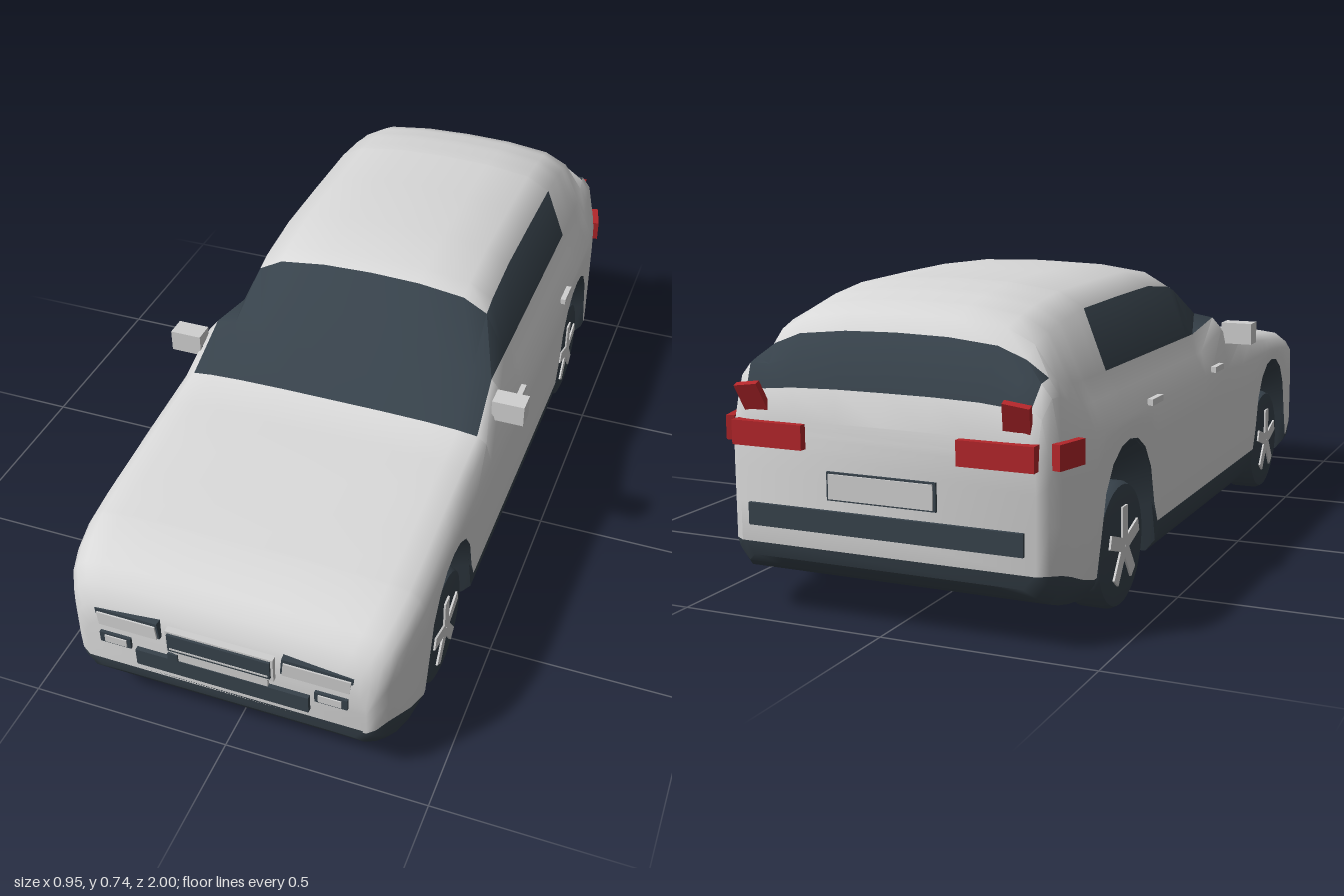
import * as THREE from 'three';
import { toCreasedNormals } from 'three/addons/utils/BufferGeometryUtils.js';

const mat = (name, color) => {
  const m = new THREE.MeshStandardMaterial({ color });
  m.name = name;
  return m;
};
const paint = mat('body paint', 0xd8d8d8);
const dark = mat('dark trim and glass', 0x37424b);
const silver = mat('silver', 0xd0d0d0);
const red = mat('red lamp', 0xb3262a);

// Body stations: z, half width, bottom, top of trim, roof or bonnet height
const KEYS = [
  [0.983, 0.345, 0.14, 0.165, 0.3], [0.975, 0.365, 0.125, 0.175, 0.345], [0.95, 0.385, 0.105, 0.185, 0.385],
  [0.92, 0.4, 0.09, 0.18, 0.415], [0.87, 0.412, 0.08, 0.155, 0.435], [0.8, 0.42, 0.078, 0.125, 0.453],
  [0.7, 0.422, 0.078, 0.15, 0.466], [0.5, 0.422, 0.078, 0.155, 0.487], [0.29, 0.422, 0.078, 0.155, 0.505],
  [0.15, 0.422, 0.078, 0.155, 0.606], [0, 0.422, 0.078, 0.155, 0.707], [-0.05, 0.422, 0.078, 0.155, 0.722],
  [-0.2, 0.422, 0.078, 0.155, 0.738], [-0.4, 0.422, 0.078, 0.155, 0.736], [-0.62, 0.422, 0.078, 0.155, 0.731],
  [-0.74, 0.42, 0.078, 0.13, 0.716], [-0.82, 0.418, 0.078, 0.125, 0.698], [-0.87, 0.41, 0.083, 0.14, 0.678],
  [-0.905, 0.402, 0.09, 0.155, 0.642], [-0.935, 0.393, 0.1, 0.165, 0.588], [-0.965, 0.378, 0.12, 0.17, 0.522],
  [-0.98, 0.355, 0.14, 0.17, 0.45],
];
const ARCH = [[0, 0.383], [0.05, 0.375], [0.1, 0.345], [0.14, 0.29], [0.165, 0.2], [0.19, 0.08]];
const AXLES = [0.6, -0.615];

// Linear lookup in a table ordered by its first column
function lookup(table, v) {
  const up = table[1][0] > table[0][0] ? 1 : -1;
  let i = 0;
  while (i < table.length - 2 && (v - table[i + 1][0]) * up > 0) i++;
  const a = table[i], b = table[i + 1];
  const t = THREE.MathUtils.clamp((v - a[0]) / (b[0] - a[0]), 0, 1);
  return a.map((n, k) => n + (b[k] - n) * t);
}

function archHeight(z) {
  const d = Math.min(...AXLES.map((a) => Math.abs(z - a)));
  return d > 0.1899 ? 0 : lookup(ARCH, d)[1];
}

// Half cross-section from the underside centre up to the roof centre
function section(z) {
  const [, W, b, trim, T] = lookup(KEYS, z);
  const a = archHeight(z), s = W / 0.422, c = THREE.MathUtils.clamp((T - 0.505) / 0.2, 0, 1);
  const inner = Math.max(b, a - 0.06);
  const mix = (hood, cab) => hood + (cab - hood) * c;
  const low = (y, j) => Math.max(y, a + j * 0.002);
  const y4 = low(trim, 4), y7 = mix(Math.min(0.42, T - 0.055), 0.44);
  return [
    [0, inner], [0.3 * s, inner], [W - (a > 0.1 ? 0.006 : 0.03), low(b, 2)], [W - 0.006, low(b + 0.03, 3)],
    [W, y4], [W, y4 + (y7 - y4) * 0.4], [W, y4 + (y7 - y4) * 0.75], [0.42 * s, y7],
    [mix(0.405, 0.39) * s, mix(T - 0.03, 0.495)], [mix(0.38, 0.365) * s, mix(T - 0.012, 0.54)],
    [mix(0.33, 0.312) * s, mix(T - 0.006, T - 0.055)], [0.25 * s, mix(T - 0.002, T - 0.02)],
    [0.13 * s, mix(T, T - 0.004)], [0, T],
  ];
}

// Lofted shell with painted, glazed and trimmed bands
function bodyGeometry() {
  const zs = KEYS.map((k) => k[0]);
  for (const c of AXLES) for (const [d] of ARCH) zs.push(c + d, c - d);
  const sorted = zs.sort((p, q) => q - p).filter((z, i) => i === 0 || sortedGap(zs[i - 1], z));
  const N = 26, pos = [], faces = [[], []];
  for (const z of sorted) {
    const half = section(z);
    for (const [x, y] of half) pos.push(x, y, z);
    for (let i = 12; i > 0; i--) pos.push(-half[i][0], half[i][1], z);
  }
  const quad = (m, a, b, c, d) => faces[m].push(a, b, c, a, c, d);
  for (let k = 0; k < sorted.length - 1; k++) {
    const z = (sorted[k] + sorted[k + 1]) / 2;
    for (let i = 0; i < N; i++) {
      const j = i < 13 ? i : 25 - i, n = (i + 1) % N;
      const windscreen = j >= 9 && z > 0 && z < 0.29;
      const sideWindow = j === 9 && z < 0 && z > -0.62;
      const rearWindow = j >= 9 && z < -0.905 && z > -0.965;
      const m = j < 4 || windscreen || sideWindow || rearWindow ? 1 : 0;
      quad(m, k * N + i, (k + 1) * N + i, (k + 1) * N + n, k * N + n);
    }
  }
  const last = (sorted.length - 1) * N;
  for (let j = 0; j < 13; j++) {
    const l = (N - j) % N, l2 = N - j - 1, m = j < 4 ? 1 : 0;
    quad(m, j, j + 1, l2, l);
    quad(m, last + l, last + l2, last + j + 1, last + j);
  }
  const g = new THREE.BufferGeometry();
  g.setAttribute('position', new THREE.Float32BufferAttribute(pos, 3));
  g.setIndex([...faces[0], ...faces[1]]);
  g.addGroup(0, faces[0].length, 0);
  g.addGroup(faces[0].length, faces[1].length, 1);
  return toCreasedNormals(g, 0.75);
}
const sortedGap = (p, q) => p - q > 1e-4;

export function createModel() {
  const car = new THREE.Group();
  car.name = 'car';
  const add = (name, geometry, material, parent = car) => {
    const m = new THREE.Mesh(geometry, material);
    m.name = name;
    parent.add(m);
    return m;
  };
  const box = (name, material, size, at, rot = [0, 0, 0]) => {
    const m = add(name, new THREE.BoxGeometry(...size), material);
    m.position.set(...at);
    m.rotation.set(...rot);
    return m;
  };

  add('body', bodyGeometry(), [paint, dark]);
  box('underbody', dark, [0.6, 0.01, 1.66], [0, 0.086, -0.01]);

  // Wheels: rounded tyre with a five-spoke star
  const tyreProfile = [[0, -0.05], [0.12, -0.05], [0.138, -0.044], [0.145, -0.03], [0.145, 0.03], [0.138, 0.044],
    [0.12, 0.05], [0, 0.05]].map((p) => new THREE.Vector2(...p));
  const tyre = toCreasedNormals(new THREE.LatheGeometry(tyreProfile, 36), 0.6);
  const spoke = new THREE.BoxGeometry(0.032, 0.01, 0.09).translate(0, 0.05, 0.047);
  for (const z of AXLES) for (const side of [1, -1]) {
    const wheel = new THREE.Group();
    wheel.name = 'wheel';
    add('tyre', tyre, dark, wheel);
    for (let i = 0; i < 5; i++) add('spoke', spoke, silver, wheel).rotation.y = (i * Math.PI * 2) / 5;
    // Outer face points sideways, with one spoke straight up
    const basis = new THREE.Matrix4().makeBasis(
      new THREE.Vector3(0, 0, side), new THREE.Vector3(side, 0, 0), new THREE.Vector3(0, 1, 0));
    wheel.quaternion.setFromRotationMatrix(basis);
    wheel.position.set(side * 0.357, 0.145, z);
    car.add(wheel);
  }

  // Front centre: grille, bars and lower intake
  box('grilleFrame', silver, [0.262, 0.066, 0.03], [0, 0.298, 0.979]);
  box('grille', dark, [0.25, 0.05, 0.03], [0, 0.301, 0.985]);
  box('grilleBar', silver, [0.24, 0.005, 0.03], [0, 0.284, 0.986]);
  box('frontPlate', silver, [0.23, 0.032, 0.025], [0, 0.252, 0.98]);
  box('lowerIntake', dark, [0.425, 0.046, 0.025], [0, 0.218, 0.982]);
  box('intakeTab', dark, [0.025, 0.022, 0.02], [-0.117, 0.25, 0.986]);

  // Rear centre: plate and bumper strip
  box('rearPlate', silver, [0.25, 0.055, 0.016], [0, 0.315, -0.982]);
  box('rearPlateEdge', dark, [0.262, 0.063, 0.01], [0, 0.315, -0.981]);
  box('bumperStrip', dark, [0.66, 0.05, 0.022], [0, 0.235, -0.978]);

  // Mirrored fittings
  for (const s of [1, -1]) {
    box('headlampFrame', dark, [0.166, 0.046, 0.036], [s * 0.23, 0.311, 0.968], [0, s * 0.08, s * -0.1]);
    box('headlamp', silver, [0.156, 0.037, 0.036], [s * 0.23, 0.307, 0.972], [0, s * 0.08, s * -0.1]);
    box('fogLampFrame', dark, [0.078, 0.03, 0.025], [s * 0.265, 0.249, 0.978]);
    box('fogLamp', silver, [0.055, 0.02, 0.025], [s * 0.263, 0.249, 0.981]);
    box('mirror', silver, [0.082, 0.056, 0.052], [s * 0.435, 0.524, 0.192]);
    box('mirrorArm', dark, [0.05, 0.022, 0.03], [s * 0.385, 0.506, 0.192]);
    for (const z of [0.038, -0.452])
      box('doorHandle', silver, [0.014, 0.015, 0.072], [s * 0.423, 0.45, z]);
    box('tailLamp', red, [0.175, 0.055, 0.03], [s * 0.272, 0.417, -0.983]);
    box('sideTailLamp', red, [0.02, 0.055, 0.085], [s * 0.401, 0.417, -0.918], [0, s * 0.25, 0]);
    box('upperTailLamp', red, [0.06, 0.07, 0.014], [s * 0.315, 0.495, -0.98], [-0.42, 0, s * -0.15]);
  }
  return car;
}
